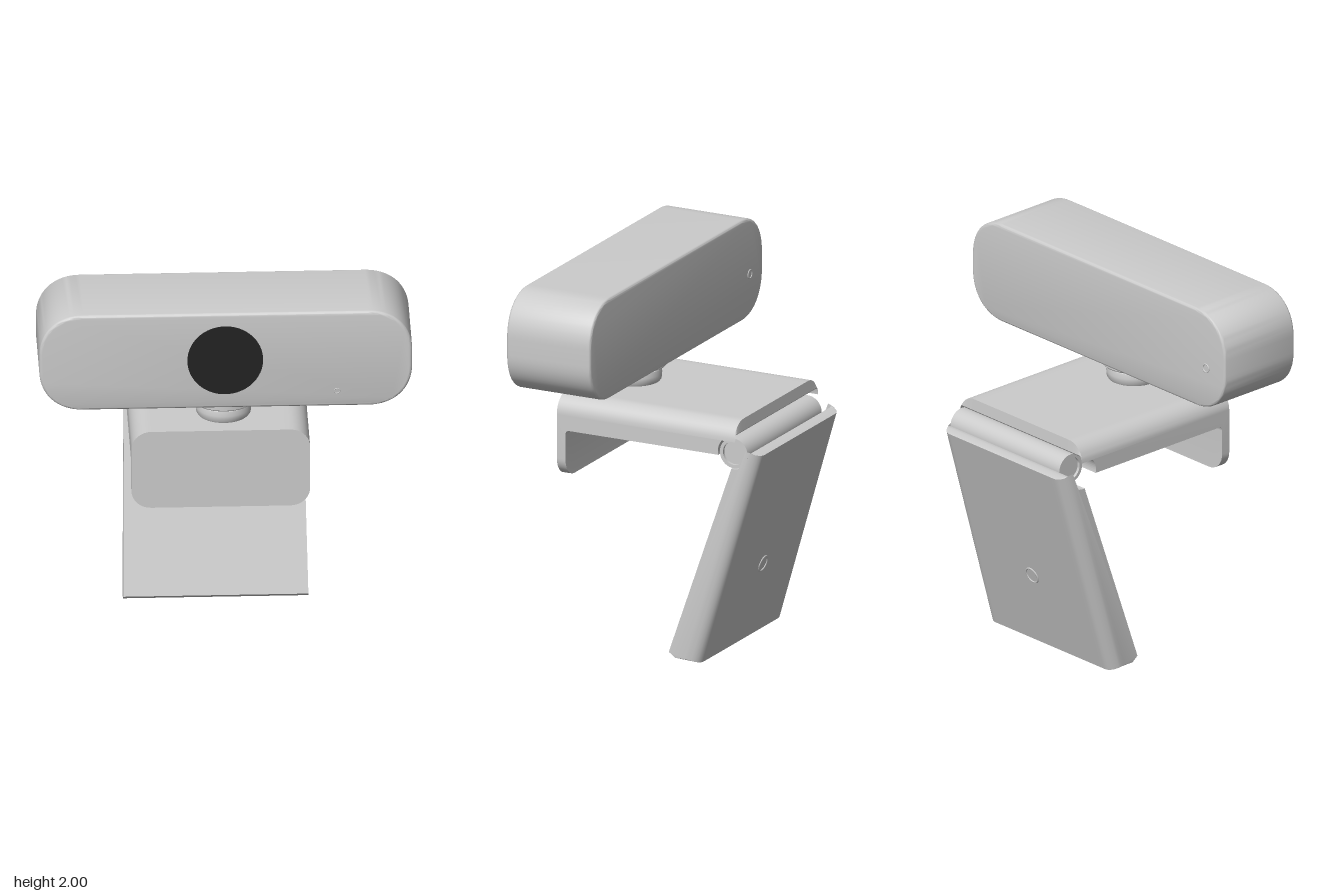
import * as THREE from 'three';
import { toCreasedNormals } from 'three/addons/utils/BufferGeometryUtils.js';

const HINGE = { y: 1.16, z: -0.445, r: 0.08 };
const CX = -0.025; // the clip sits slightly off centre

export function createModel() {
  const group = new THREE.Group();
  const grey = new THREE.MeshStandardMaterial({ color: 0xcccccc });
  const dark = new THREE.MeshStandardMaterial({ color: 0x222222 });

  function add(name, geometry, material = grey, x = 0, y = 0, z = 0) {
    const mesh = new THREE.Mesh(geometry, material);
    mesh.name = name;
    mesh.position.set(x, y, z);
    group.add(mesh);
    return mesh;
  }

  // Rounded rectangle with elliptical corners, centred on the origin
  function roundedRect(w, h, rx, ry) {
    const s = new THREE.Shape();
    s.moveTo(w - rx, -h);
    s.bezierCurveTo(w - rx * 0.4, -h, w, -h + ry * 0.4, w, -h + ry);
    s.lineTo(w, h - ry);
    s.bezierCurveTo(w, h - ry * 0.4, w - rx * 0.4, h, w - rx, h);
    s.lineTo(-w + rx, h);
    s.bezierCurveTo(-w + rx * 0.4, h, -w, h - ry * 0.4, -w, h - ry);
    s.lineTo(-w, -h + ry);
    s.bezierCurveTo(-w, -h + ry * 0.4, -w + rx * 0.4, -h, -w + rx, -h);
    return s;
  }

  // Side profile in (-z, y) swept along x; slices crowd towards the ends,
  // and shape(v, edge) trims each vertex, edge being its distance to the side
  function sweepAcross(profile, halfWidth, shape) {
    const geo = new THREE.ExtrudeGeometry(profile, {
      depth: 1, steps: 40, bevelEnabled: false, curveSegments: 16,
    });
    geo.rotateY(Math.PI / 2);
    const pos = geo.attributes.position;
    const v = new THREE.Vector3();
    for (let i = 0; i < pos.count; i++) {
      v.fromBufferAttribute(pos, i);
      const c = -Math.cos(Math.PI * v.x);
      const half = halfWidth(v.y);
      v.x = CX + half * c;
      shape(v, half * (1 - Math.abs(c)));
      pos.setXYZ(i, v.x, v.y, v.z);
    }
    return toCreasedNormals(geo, 0.6);
  }

  // How far an elliptical corner (rx by ry) cuts in at a distance from the side
  const cornerCut = (edge, rx, ry) =>
    edge >= rx ? 0 : ry * (1 - Math.sqrt(Math.max(0, 1 - ((rx - edge) / rx) ** 2)));

  // Camera housing
  const b = 0.015;
  const housing = new THREE.ExtrudeGeometry(roundedRect(0.955 - b, 0.27 - b, 0.21, 0.21), {
    depth: 0.485 - 2 * b, bevelSize: b, bevelThickness: b, bevelSegments: 4, curveSegments: 16,
  });
  add('cameraHousing', toCreasedNormals(housing, 0.6), grey, 0, 1.73, 0.11 + b);

  // Lens, indicator on the front, cable hole on the back
  const lens = add('lens', new THREE.CylinderGeometry(0.194, 0.194, 0.01, 64), dark, -0.003, 1.735, 0.593);
  lens.rotation.x = Math.PI / 2;
  add('indicatorRing', new THREE.TorusGeometry(0.014, 0.003, 8, 24), grey, 0.57, 1.548, 0.595);
  add('rearHoleRing', new THREE.TorusGeometry(0.022, 0.004, 8, 24), grey, -0.81, 1.69, 0.11);

  // Swivel neck
  const neckProfile = [
    [0, 1.31], [0.125, 1.31], [0.14, 1.33], [0.143, 1.36], [0.137, 1.385], [0.12, 1.4],
    [0.16, 1.4], [0.167, 1.407], [0.167, 1.47], [0, 1.47],
  ].map(([r, y]) => new THREE.Vector2(r, y));
  add('swivelNeck', toCreasedNormals(new THREE.LatheGeometry(neckProfile, 48), 0.6), grey, -0.003, 0, 0.355);

  // Clip: top plate with the front flap, hollowed round the hinge
  const clip = new THREE.Shape();
  clip.moveTo(-0.575, 1.32);
  clip.lineTo(-0.575, 0.885);
  clip.lineTo(-0.525, 0.885);
  clip.lineTo(-0.525, 1.115);
  clip.quadraticCurveTo(-0.525, 1.14, -0.5, 1.14);
  clip.lineTo(0.355, 1.14);
  clip.absarc(-HINGE.z, HINGE.y, 0.09, Math.PI * 1.07, Math.PI / 2, true);
  clip.lineTo(0.455, 1.26);
  clip.lineTo(0.45, 1.32);
  add('clipPlate', sweepAcross(clip, () => 0.458, (v, edge) => {
    const cut = cornerCut(edge, 0.1, 0.1);
    v.y = Math.max(Math.min(v.y, 1.32 - cut), 0.885 + cut);
  }));

  // Hinge barrel with a rim and recess at each end
  const barrelProfile = [
    [0, -0.395], [0.062, -0.395], [0.062, -0.41], [HINGE.r, -0.41],
    [HINGE.r, 0.41], [0.062, 0.41], [0.062, 0.395], [0, 0.395],
  ].map(([r, y]) => new THREE.Vector2(r, y));
  const barrel = add('hingeBarrel', toCreasedNormals(new THREE.LatheGeometry(barrelProfile, 40), 0.6),
    grey, 0.02, HINGE.y, HINGE.z);
  barrel.rotation.z = -Math.PI / 2;

  // Rear leg, its back edges rounded at both sides
  const leg = new THREE.Shape();
  leg.moveTo(0.25, 0);
  leg.lineTo(0.59, 1.155);
  leg.lineTo(0.555, 1.168);
  leg.absarc(-HINGE.z, HINGE.y, 0.085, 0.05, -1.72, true);
  leg.lineTo(0.08, 0.045);
  leg.lineTo(0.116, 0.018);
  const out = new THREE.Vector3(0, 0.283, 0.959); // from the leg's back to its front
  const legBack = new THREE.Vector3(CX, 1.155, -0.59);
  add('rearLeg', sweepAcross(leg, (y) => 0.475 - 0.017 * y, (v, edge) => {
    const depth = v.clone().sub(legBack).dot(out);
    v.addScaledVector(out, Math.max(0, cornerCut(edge, 0.06, 0.08) - depth));
  }));

  // Tripod socket on the back of the leg
  const socket = new THREE.Group();
  socket.name = 'tripodSocket';
  const rim = new THREE.Mesh(new THREE.TorusGeometry(0.042, 0.005, 8, 32), grey);
  rim.name = 'socketRim';
  socket.add(rim);
  socket.position.set(CX, 0.43, -0.376);
  socket.quaternion.setFromUnitVectors(new THREE.Vector3(0, 0, 1), out.clone().normalize());
  group.add(socket);

  return group;
}
